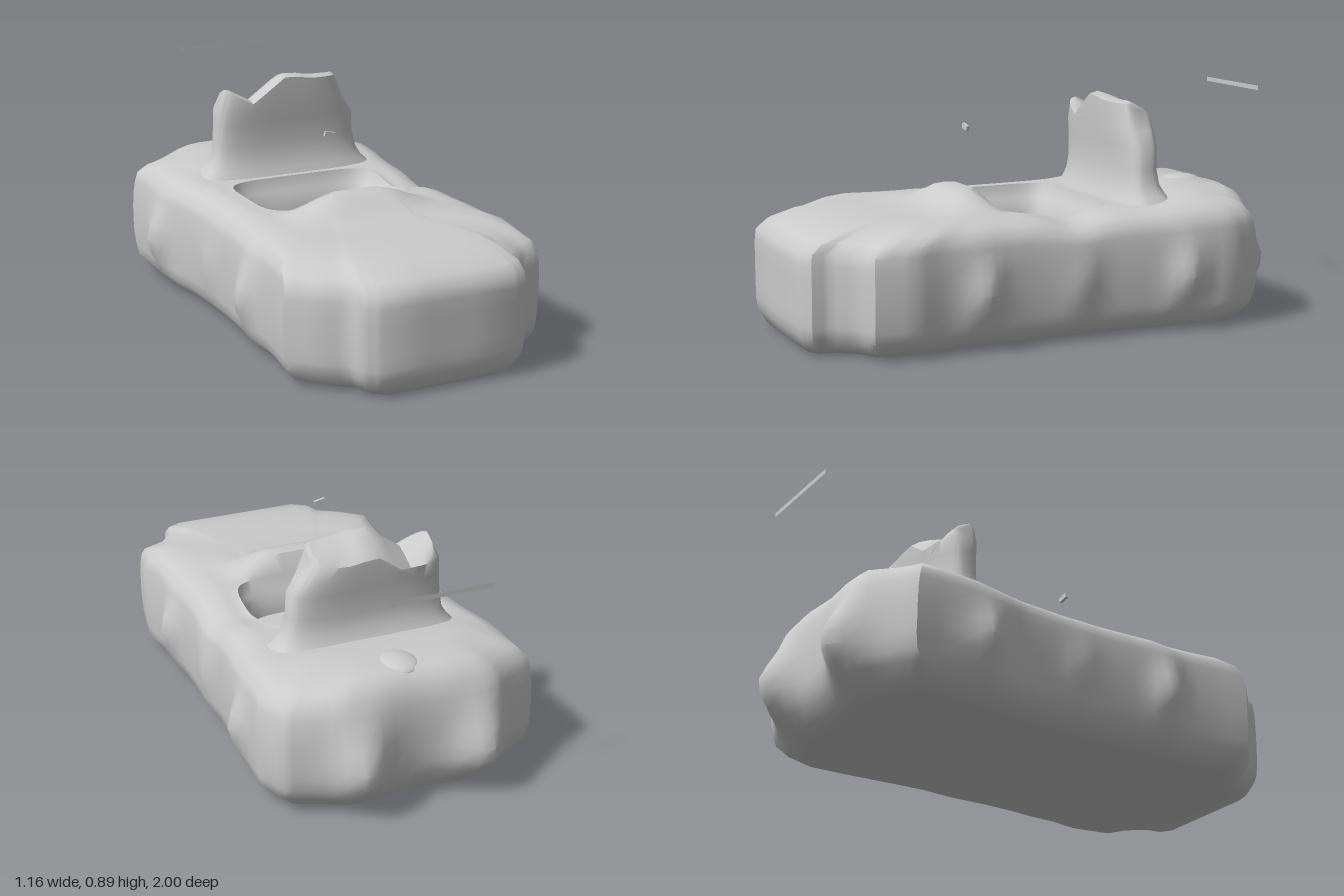
import * as THREE from 'three';
import { toCreasedNormals } from 'three/addons/utils/BufferGeometryUtils.js';

const material = new THREE.MeshStandardMaterial({ color: 0xcccccc, side: THREE.DoubleSide });

function part(name, geometry) {
  const mesh = new THREE.Mesh(geometry, material);
  mesh.name = name;
  return mesh;
}

// Skin over closed rings of [x, y, z] points, with caps on the rings listed
function loft(rings, caps, crease) {
  const n = rings[0].length;
  const points = rings.flat();
  const index = [];
  for (let j = 0; j < rings.length - 1; j++) {
    for (let i = 0; i < n; i++) {
      const a = j * n + i, b = j * n + (i + 1) % n;
      index.push(a, a + n, b, b, a + n, b + n);
    }
  }
  for (const j of caps) {
    const centre = [0, 1, 2].map(k => rings[j].reduce((s, p) => s + p[k], 0) / n);
    const c = points.push(centre) - 1;
    for (let i = 0; i < n; i++) {
      const a = j * n + i, b = j * n + (i + 1) % n;
      if (j === 0) index.push(c, a, b); else index.push(c, b, a);
    }
  }
  const g = new THREE.BufferGeometry();
  g.setAttribute('position', new THREE.Float32BufferAttribute(points.flat(), 3));
  g.setIndex(index);
  return toCreasedNormals(g, crease);
}

function subdivide(points, count) {
  const out = [];
  points.forEach((p, i) => {
    const q = points[(i + 1) % points.length];
    for (let k = 0; k < count; k++) {
      const t = k / count;
      out.push([p[0] + (q[0] - p[0]) * t, p[1] + (q[1] - p[1]) * t]);
    }
  });
  return out;
}

// Point of a rounded rectangle at angle a
function roundedRect(a, cx, cz, hx, hz, power) {
  const c = Math.cos(a), s = Math.sin(a);
  const r = Math.pow(Math.pow(Math.abs(c / hx), power) + Math.pow(Math.abs(s / hz), power), -1 / power);
  return [cx + r * c, cz + r * s];
}

const bell = (v, centre, width) => Math.exp(-(((v - centre) / width) ** 2));
const { smoothstep, clamp } = THREE.MathUtils;

// Plan of the body, from the middle of the tail round by the left side
const plan = [
  [0, -0.89], [0.16, -0.9], [0.31, -0.89], [0.41, -0.85], [0.5, -0.81], [0.55, -0.68],
  [0.54, -0.52], [0.53, -0.4], [0.52, -0.28], [0.51, -0.15], [0.52, 0], [0.51, 0.15],
  [0.51, 0.28], [0.52, 0.4], [0.52, 0.52], [0.54, 0.64], [0.51, 0.79], [0.42, 0.83],
  [0.35, 0.91], [0.34, 0.97], [0.28, 1],
  [-0.26, 1], [-0.32, 0.96], [-0.34, 0.89], [-0.43, 0.83], [-0.52, 0.74], [-0.5, 0.6],
  [-0.49, 0.48], [-0.5, 0.38], [-0.49, 0.26], [-0.48, 0.1], [-0.48, -0.1], [-0.49, -0.28],
  [-0.51, -0.4], [-0.52, -0.52], [-0.52, -0.77], [-0.41, -0.83], [-0.31, -0.89], [-0.15, -0.9],
];

// Body shell with the open cockpit sunk into its top
function bodyGeometry() {
  const outline = subdivide(plan, 3);
  // height, width scale, front scale, rear scale
  const levels = [
    [0, 0.7, 0.88, 0.82], [0, 0.79, 0.95, 0.89], [0.02, 0.89, 0.97, 0.93], [0.07, 0.975, 0.995, 0.97],
    [0.11, 0.985, 1, 0.99], [0.16, 0.995, 1, 1], [0.22, 1, 1, 1], [0.28, 1, 1, 1],
    [0.34, 0.995, 1, 0.995], [0.385, 0.985, 0.995, 0.985], [0.42, 0.97, 0.955, 0.97],
    [0.452, 0.9, 0.86, 0.94], [0.47, 0.8, 0.77, 0.9],
  ];
  // rise of the rear deck, dip of the left door sill, cowl ahead of the cockpit
  const raise = (x, z) =>
    0.042 * smoothstep(-z, 0.35, 0.6) * (1 - 0.6 * smoothstep(Math.abs(x), 0.25, 0.5)) -
    0.035 * smoothstep(x, 0.26, 0.36) * bell(z, -0.04, 0.11);
  const cowl = (x, z) => 0.073 * smoothstep(z, 0.16, 0.24) * (1 - smoothstep(z, 0.29, 0.42)) *
    (1 - smoothstep(Math.abs(x - 0.02), 0.08, 0.34));
  const rings = levels.map(([y, sx, front, rear]) => outline.map(([x, z]) => {
    // wheel and door swellings on the sides, paired lamps on the tail
    const bulge = bell(y, 0.22, 0.1) * smoothstep(Math.abs(x), 0.4, 0.48) *
      (0.055 * bell(z, -0.47, 0.06) + 0.05 * bell(z, 0.36, 0.06) + 0.02 * bell(z, -0.04, 0.05));
    const lamp = z < -0.8 ? 0.1 * bell(y, 0.2, 0.13) * bell(Math.abs(x), 0.24, 0.085) : 0;
    const lift = raise(x, z) * clamp((y - 0.3) / 0.17, 0, 1);
    return [x * sx + Math.sign(x) * bulge, y + lift, z * (z > 0 ? front : rear) - lamp];
  }));
  const deck = rings[rings.length - 1];
  const pit = (hx, hz, y) => outline.map(([x, z]) => {
    const p = roundedRect(Math.atan2(z + 0.045, x), 0.01, -0.045, hx, hz, 5);
    return [p[0], y, p[1]];
  });
  const rim = pit(0.32, 0.23, 0.475).map(([x, y, z]) => [x, y + raise(x, z), z]);
  for (const t of [0.3, 0.55, 0.68, 0.76, 0.84, 0.92]) {
    rings.push(deck.map((p, i) => {
      const x = p[0] + (rim[i][0] - p[0]) * t, z = p[2] + (rim[i][2] - p[2]) * t;
      return [x, 0.474 + raise(x, z) + cowl(x, z), z];
    }));
  }
  // stepped cockpit walls down to the floor
  rings.push(rim, pit(0.303, 0.216, 0.42), pit(0.28, 0.198, 0.4), pit(0.268, 0.188, 0.325));
  return loft(rings, [0, rings.length - 1], 0.9);
}

// Upright back rest with a ragged top edge
function backRestGeometry() {
  const crest = [[-0.28, 0.8], [-0.255, 0.84], [-0.15, 0.785], [0, 0.89], [0.1, 0.87], [0.23, 0.865], [0.3, 0.74]];
  const crestAt = x => {
    const k = Math.max(1, crest.findIndex(p => p[0] >= x));
    const [a, b] = [crest[k - 1], crest[k]];
    return a[1] + (b[1] - a[1]) * clamp((x - a[0]) / (b[0] - a[0]), 0, 1);
  };
  // height, centre x, half width, centre z, half depth
  const levels = [
    [0.45, 0.02, 0.4, -0.425, 0.135], [0.5, 0.02, 0.345, -0.42, 0.105], [0.54, 0.02, 0.32, -0.415, 0.086],
    [0.6, 0.018, 0.308, -0.415, 0.077], [0.69, 0.017, 0.303, -0.415, 0.08], [0.75, 0, 0.282, -0.415, 0.086],
  ];
  const ring = ([y, cx, hx, cz, hz]) => Array.from({ length: 64 }, (_, i) => {
    const u = -Math.PI / 2 + i / 64 * Math.PI * 2;
    const e = v => Math.sign(v) * Math.pow(Math.abs(v), 0.6);
    return [cx + hx * e(Math.cos(u)), y, cz + hz * e(Math.sin(u))];
  });
  const rings = levels.map(ring);
  // top face closes on a ridge and falls away to the back
  for (const [hz, drop] of [[0.086, 0.01], [0.05, 0], [0, 0]]) {
    rings.push(ring([0, -0.01, 0.25, -0.415, hz]).map(([x, , z]) =>
      [x, crestAt(x) - drop - 0.5 * Math.max(0, -0.38 - z), z]));
  }
  return loft(rings, [], 0.8);
}

export function createModel() {
  const model = new THREE.Group();
  model.name = 'openCar';
  model.add(part('body', bodyGeometry()));
  model.add(part('backRest', backRestGeometry()));

  // Small bump on the rear deck
  const bump = part('rearDeckBump', new THREE.SphereGeometry(1, 24, 14));
  bump.position.set(0.02, 0.5, -0.73);
  bump.scale.set(0.075, 0.028, 0.09);
  model.add(bump);

  // Loose thin strip above the tail and a small chip above the cowl
  const strip = part('tailStrip', new THREE.PlaneGeometry(0.4, 0.018));
  strip.position.set(-0.01, 0.885, -0.995);
  model.add(strip);
  const chip = part('chip', new THREE.BoxGeometry(0.045, 0.02, 0.012));
  chip.position.set(-0.065, 0.76, 0.19);
  chip.rotation.z = -0.2;
  model.add(chip);
  return model;
}
